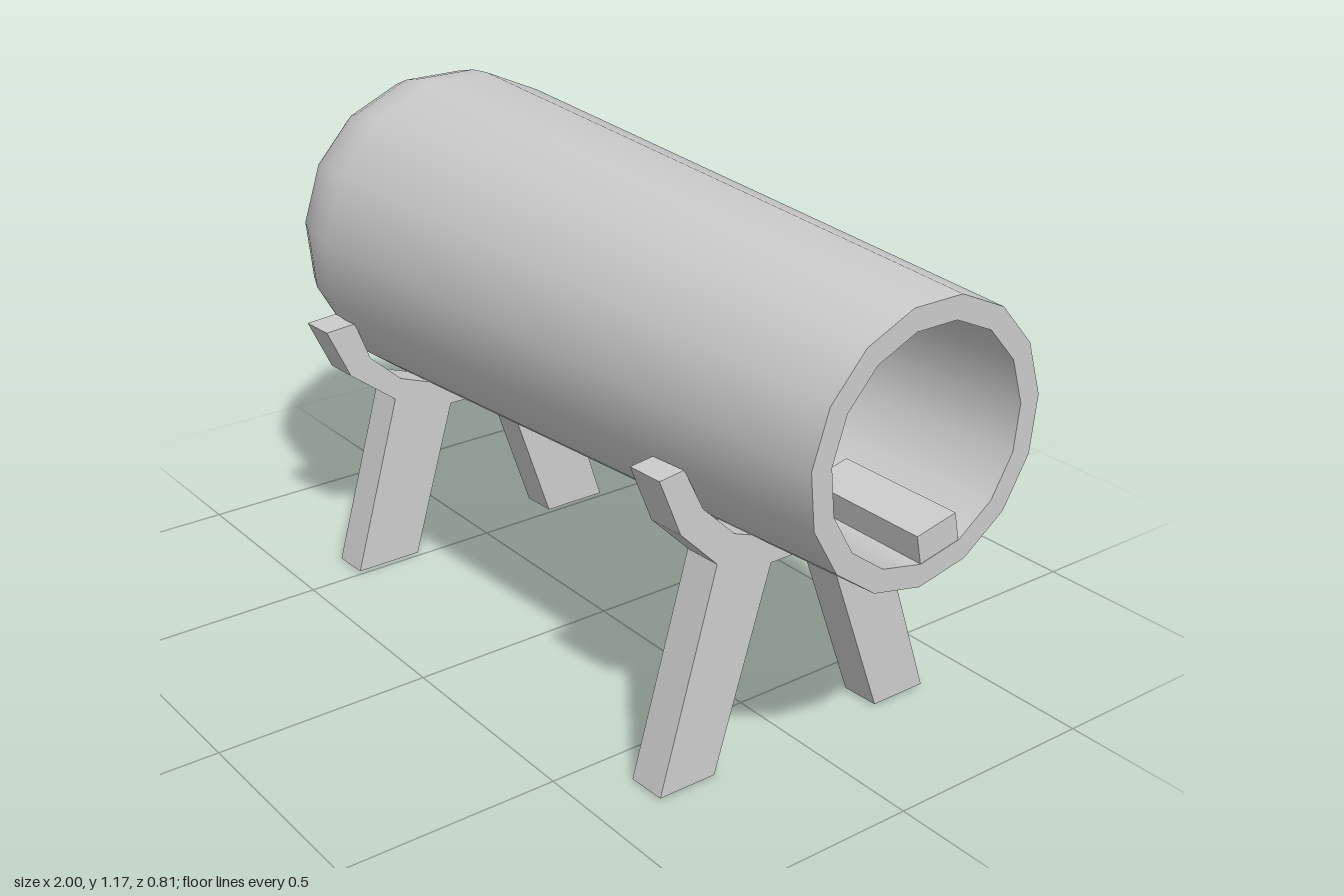
import * as THREE from 'three';
import { toCreasedNormals } from 'three/addons/utils/BufferGeometryUtils.js';

const SIDES = 15;
const AXIS_Y = 0.798;
const material = new THREE.MeshStandardMaterial({ color: 0xcccccc });

function addMesh(parent, geometry, name) {
  const mesh = new THREE.Mesh(geometry, material);
  mesh.name = name;
  parent.add(mesh);
  return mesh;
}

// Turned part along x from [x, radius] pairs, with one corner pointing down
function turned(profile) {
  const points = profile.map(([x, r]) => new THREE.Vector2(r, x));
  const geometry = new THREE.LatheGeometry(points, SIDES, Math.PI / 2);
  geometry.rotateZ(-Math.PI / 2);
  return toCreasedNormals(geometry, 0.6).translate(0, AXIS_Y, 0);
}

// Symmetric stand: half outline [z, y] mirrored, then extruded along x
function stand(half) {
  const mirrored = half.map(([z, y]) => [-z, y]).reverse();
  const shape = new THREE.Shape([...half, ...mirrored].map(([z, y]) => new THREE.Vector2(z, y)));
  const geometry = new THREE.ExtrudeGeometry(shape, { depth: 0.092, bevelEnabled: false });
  return geometry.rotateY(Math.PI / 2);
}

export function createModel() {
  const model = new THREE.Group();
  model.name = 'cannon';

  // Hollow barrel: domed breech, tapered tube, rim, bore
  const profile = [];
  const domeSteps = 10;
  for (let i = 0; i <= domeSteps; i++) {
    const a = (i / domeSteps) * Math.PI / 2;
    profile.push([-0.57 - 0.37 * Math.cos(a), 0.379 * Math.sin(a)]);
  }
  profile.push([1, 0.292], [1, 0.243], [-0.55, 0.243], [-0.55, 0]);
  addMesh(model, turned(profile), 'barrel');

  // Knob behind the breech
  addMesh(model, turned([[-1, 0], [-1, 0.085], [-0.965, 0.08], [-0.92, 0.077]]), 'breechKnob');

  // Small rail on one lower facet of the bore
  const rail = addMesh(model, new THREE.BoxGeometry(0.3, 0.067, 0.101).translate(0.849, -0.2085, 0), 'boreRail');
  rail.position.y = AXIS_Y;
  rail.rotation.x = Math.PI / SIDES;

  // Two forked stands, leaning slightly
  const rear = addMesh(model, stand([
    [0.08, 0.37], [0.2, 0], [0.365, 0], [0.235, 0.42], [0.35, 0.508],
    [0.405, 0.628], [0.33, 0.634], [0.295, 0.54], [0.215, 0.468], [0.09, 0.423],
  ]), 'rearStand');
  rear.position.x = -0.6;
  rear.rotation.z = 0.04;

  const front = addMesh(model, stand([
    [0.075, 0.435], [0.225, 0], [0.365, 0], [0.215, 0.475], [0.305, 0.565],
    [0.355, 0.692], [0.295, 0.699], [0.25, 0.605], [0.17, 0.528], [0.075, 0.493],
  ]), 'frontStand');
  front.position.x = 0.59;
  front.rotation.z = 0.04;

  return model;
}
